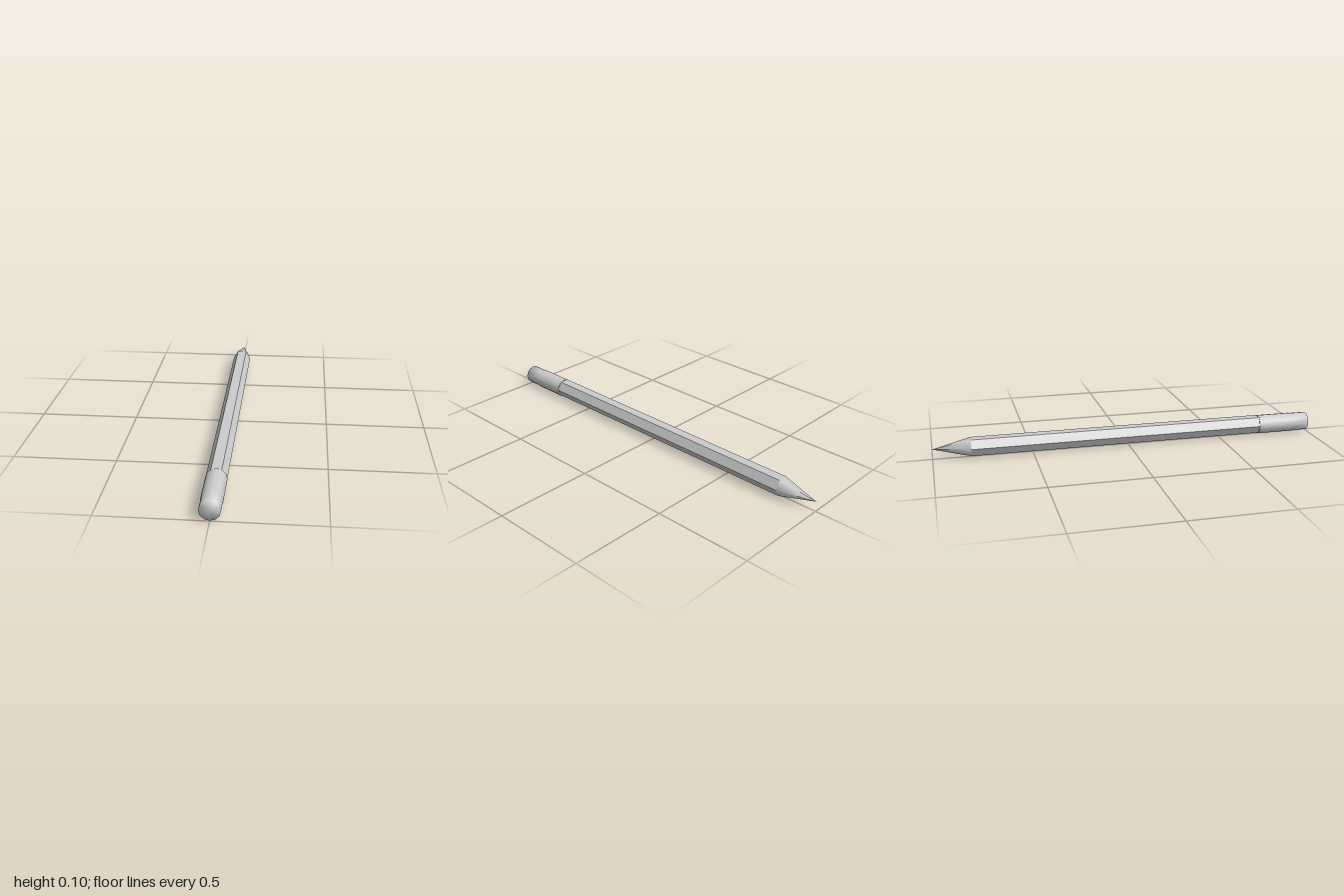
import * as THREE from 'three';

const material = new THREE.MeshStandardMaterial({ color: 0xcccccc });
const flatMaterial = new THREE.MeshStandardMaterial({ color: 0xcccccc, flatShading: true });
const AXIS_Y = 0.052; // height of the pencil's long axis

export function createModel() {
  const group = new THREE.Group();
  group.name = 'pencil';

  const add = (name, geometry, mat, y) => {
    const mesh = new THREE.Mesh(geometry, mat);
    mesh.name = name;
    mesh.position.y = y;
    group.add(mesh);
    return mesh;
  };

  // Smooth turned part lying along z; profile pairs are [radius, z]
  const turned = (profile, sides, phase = 0) =>
    new THREE.LatheGeometry(profile.map(([r, z]) => new THREE.Vector2(r, z)), sides, phase)
      .rotateX(Math.PI / 2);

  // Hexagonal wooden shaft, corners pointing sideways
  const bodyBack = -0.81, bodyFront = 0.73;
  const body = new THREE.CylinderGeometry(0.049, 0.049, bodyFront - bodyBack, 6, 1, false, Math.PI / 6)
    .rotateX(Math.PI / 2)
    .translate(0, 0, (bodyFront + bodyBack) / 2);
  add('shaft', body, flatMaterial, AXIS_Y);

  // Sharpened tip, smooth shaded, meeting the shaft's six corners
  add('tip', turned([[0, -1], [0.049, bodyBack]], 6, Math.PI / 6), material, AXIS_Y);

  // Metal sleeve and eraser with softly shaded rim
  add('eraserSleeve', turned([[0.05, 0.72], [0.05, 0.91], [0.048, 0.915], [0.048, 1], [0, 1]], 12), material, 0.05);

  // Shoulder closing the sleeve around the shaft
  const shoulder = new THREE.CircleGeometry(0.05, 12).rotateY(Math.PI).translate(0, 0, 0.72);
  add('sleeveShoulder', shoulder, material, 0.05);

  return group;
}
